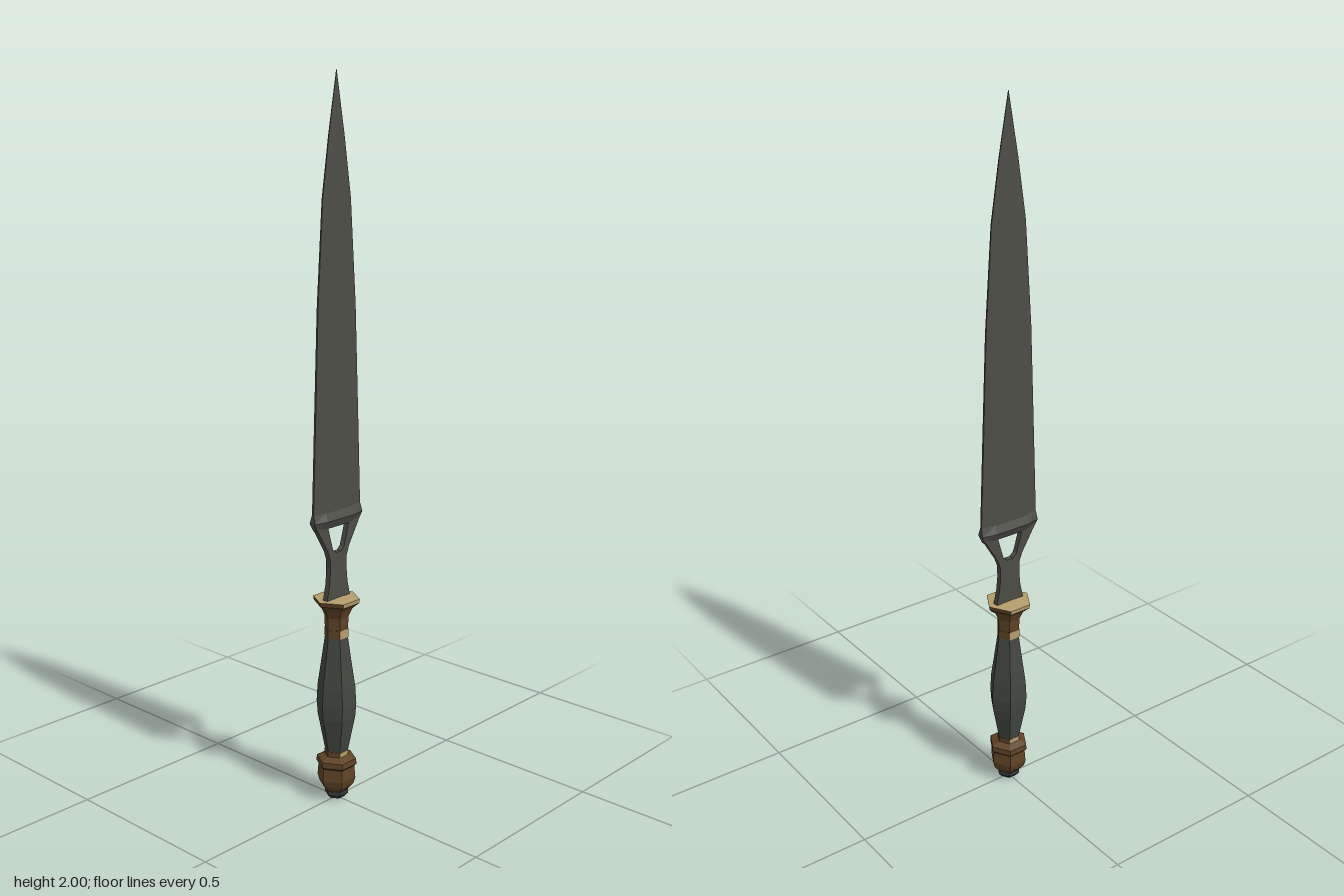
import * as THREE from 'three';

const paint = (name, color) => {
  const m = new THREE.MeshStandardMaterial({ color, flatShading: true });
  m.name = name;
  return m;
};

// Closed solid through horizontal eight-sided sections: [y, halfWidth, flatHalfWidth, halfThickness, edgeHalfThickness]
function loft(sections) {
  const pos = [], idx = [], n = 8;
  for (const [y, w, c, t, e] of sections) {
    const ring = [[w, -e], [w, e], [c, t], [-c, t], [-w, e], [-w, -e], [-c, -t], [c, -t]];
    for (const [x, z] of ring) pos.push(x, y, z);
  }
  for (let s = 0; s < sections.length - 1; s++) {
    for (let i = 0; i < n; i++) {
      const a = s * n + i, b = s * n + (i + 1) % n;
      idx.push(a, a + n, b, b, a + n, b + n);
    }
  }
  const top = (sections.length - 1) * n;
  for (let i = 1; i < n - 1; i++) {
    idx.push(0, i, i + 1);
    idx.push(top, top + i + 1, top + i);
  }
  const g = new THREE.BufferGeometry();
  g.setAttribute('position', new THREE.Float32BufferAttribute(pos, 3));
  g.setIndex(idx);
  g.computeVertexNormals();
  return g;
}

// Six-sided turned part with corners on the x axis; profile is [radius, y] from bottom to top
const turned = (profile) => new THREE.LatheGeometry(
  profile.map(([r, y]) => new THREE.Vector2(r, y)), 6, Math.PI / 2);

// Turned part whose front and back faces take the second material
function inlaid(profile) {
  const g = turned(profile);
  const perSide = g.index.count / 6;
  for (let i = 0; i < 6; i++) g.addGroup(i * perSide, perSide, i % 3 === 1 ? 1 : 0);
  return g;
}

export function createModel() {
  const steel = paint('dark steel', 0x4c4d46);
  const wrap = paint('grey green grip', 0x434740);
  const bronze = paint('brown bronze', 0x5f4326);
  const gold = paint('pale gold', 0xb59e6c);
  const cap = paint('dark cap', 0x383a3a);

  const model = new THREE.Group();
  model.name = 'dagger';
  const add = (name, geometry, material) => {
    const mesh = new THREE.Mesh(geometry, material);
    mesh.name = name;
    model.add(mesh);
  };

  // Blade with a flat centre and bevelled edges
  add('blade', loft([
    [0.825, 0.093, 0.045, 0.010, 0.003],
    [1.10, 0.083, 0.040, 0.009, 0.003],
    [1.40, 0.072, 0.034, 0.008, 0.0025],
    [1.68, 0.053, 0.022, 0.006, 0.002],
    [1.84, 0.029, 0.010, 0.004, 0.0015],
    [2.00, 0.0008, 0.0004, 0.0008, 0.0004],
  ]), steel);

  // Ridge across the blade base
  add('bladeRidge', loft([
    [0.805, 0.086, 0.050, 0.008, 0.004],
    [0.828, 0.094, 0.055, 0.019, 0.010],
    [0.852, 0.092, 0.050, 0.009, 0.003],
  ]), steel);

  // Forked neck with an open window
  const half = [[0.046, 0.595], [0.036, 0.64], [0.032, 0.68], [0.033, 0.715], [0.042, 0.74], [0.090, 0.82]];
  const mirror = (pts) => pts.map(([x, y]) => new THREE.Vector2(-x, y)).reverse();
  const right = (pts) => pts.map(([x, y]) => new THREE.Vector2(x, y));
  const neck = new THREE.Shape([...right(half), ...mirror(half)]);
  const window = [[0.010, 0.731], [0.022, 0.742], [0.029, 0.765], [0.042, 0.812]];
  neck.holes.push(new THREE.Path([...right(window), ...mirror(window)]));
  const neckGeometry = new THREE.ExtrudeGeometry(neck, { depth: 0.016, bevelEnabled: false });
  neckGeometry.translate(0, 0, -0.008);
  add('forkedNeck', neckGeometry, steel);

  // Guard: gold top plate, inlaid rim, flared collar
  add('guardTop', turned([[0.066, 0.598], [0, 0.600]]), gold);
  add('guardRim', inlaid([[0.064, 0.586], [0.066, 0.598]]), [bronze, gold]);
  add('guardCollar', turned([[0.033, 0.510], [0.034, 0.545], [0.045, 0.570], [0.064, 0.586]]), bronze);
  add('upperBand', inlaid([[0, 0.485], [0.034, 0.485], [0.034, 0.510], [0.033, 0.510]]), [bronze, gold]);

  // Swelling grip
  add('grip', turned([
    [0.032, 0.140], [0.042, 0.190], [0.054, 0.250], [0.057, 0.290],
    [0.054, 0.340], [0.042, 0.420], [0.032, 0.490],
  ]), wrap);

  // Pommel
  add('lowerBand', inlaid([[0.034, 0.125], [0.034, 0.146], [0, 0.146]]), [bronze, gold]);
  add('pommel', turned([
    [0, 0.026], [0.034, 0.028], [0.050, 0.046], [0.055, 0.065], [0.052, 0.100],
    [0.058, 0.106], [0.057, 0.122], [0.034, 0.132],
  ]), bronze);
  add('pommelCap', turned([[0, 0], [0.024, 0.003], [0.034, 0.014], [0.034, 0.026], [0, 0.030]]), cap);

  return model;
}
